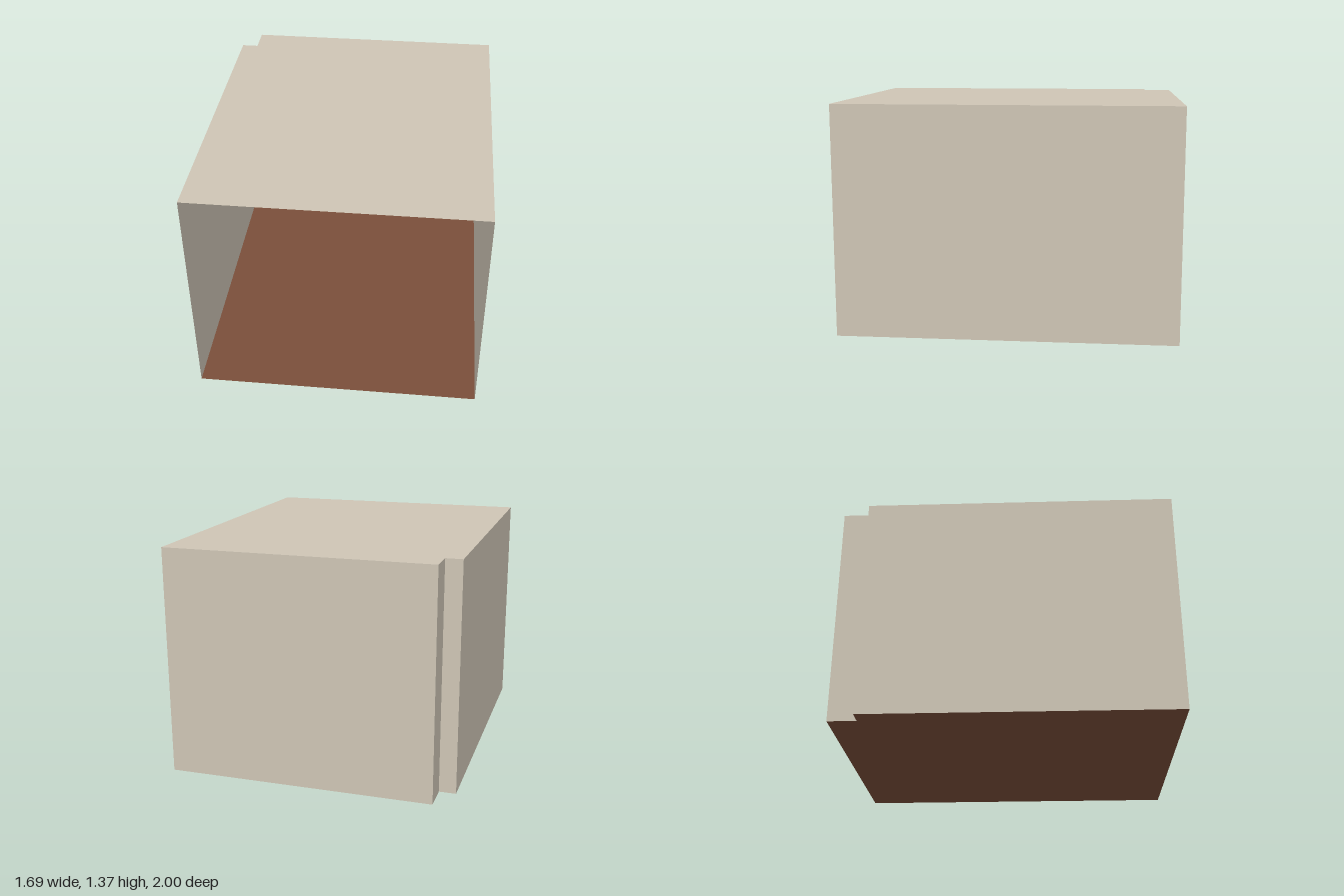
import * as THREE from 'three';

export function createModel() {
  const room = new THREE.Group();
  room.name = 'room';
  const plaster = new THREE.MeshStandardMaterial({ color: 0xcec5b5, side: THREE.DoubleSide });
  plaster.name = 'beige plaster';
  const wood = new THREE.MeshStandardMaterial({ color: 0x7a4f3a, side: THREE.DoubleSide });
  wood.name = 'brown floor';

  const X = 0.845, Z = 1, H = 1.365;
  const nookX = -0.745, nookZ = -0.83;

  // Plan outline as (x, z), starting and ending at the open front
  const plan = [[-X, Z], [-X, nookZ], [nookX, nookZ], [nookX, -Z], [X, -Z], [X, Z]];
  const names = ['leftWall', 'nookFront', 'nookSide', 'backWall', 'rightWall'];

  const add = (name, geometry, material) => {
    const mesh = new THREE.Mesh(geometry, material);
    mesh.name = name;
    room.add(mesh);
    return mesh;
  };

  // Floor and ceiling share the plan
  const slab = new THREE.ShapeGeometry(new THREE.Shape(plan.map(([x, z]) => new THREE.Vector2(x, -z))));
  slab.rotateX(-Math.PI / 2);
  add('floor', slab, wood);
  add('ceiling', slab, plaster).position.y = H;

  // One thin wall per plan edge, front left open, facing inwards
  names.forEach((name, i) => {
    const [x0, z0] = plan[i], [x1, z1] = plan[i + 1];
    const dx = x1 - x0, dz = z1 - z0;
    const wall = add(name, new THREE.PlaneGeometry(Math.hypot(dx, dz), H), plaster);
    wall.position.set((x0 + x1) / 2, H / 2, (z0 + z1) / 2);
    wall.rotation.y = Math.atan2(-dz, dx);
  });

  // Small box mounted on the left wall beside the nook
  const box = add('wallBox', new THREE.BoxGeometry(0.05, 0.115, 0.16), plaster);
  box.position.set(-X + 0.025, 0.7925, nookZ + 0.08);

  return room;
}
